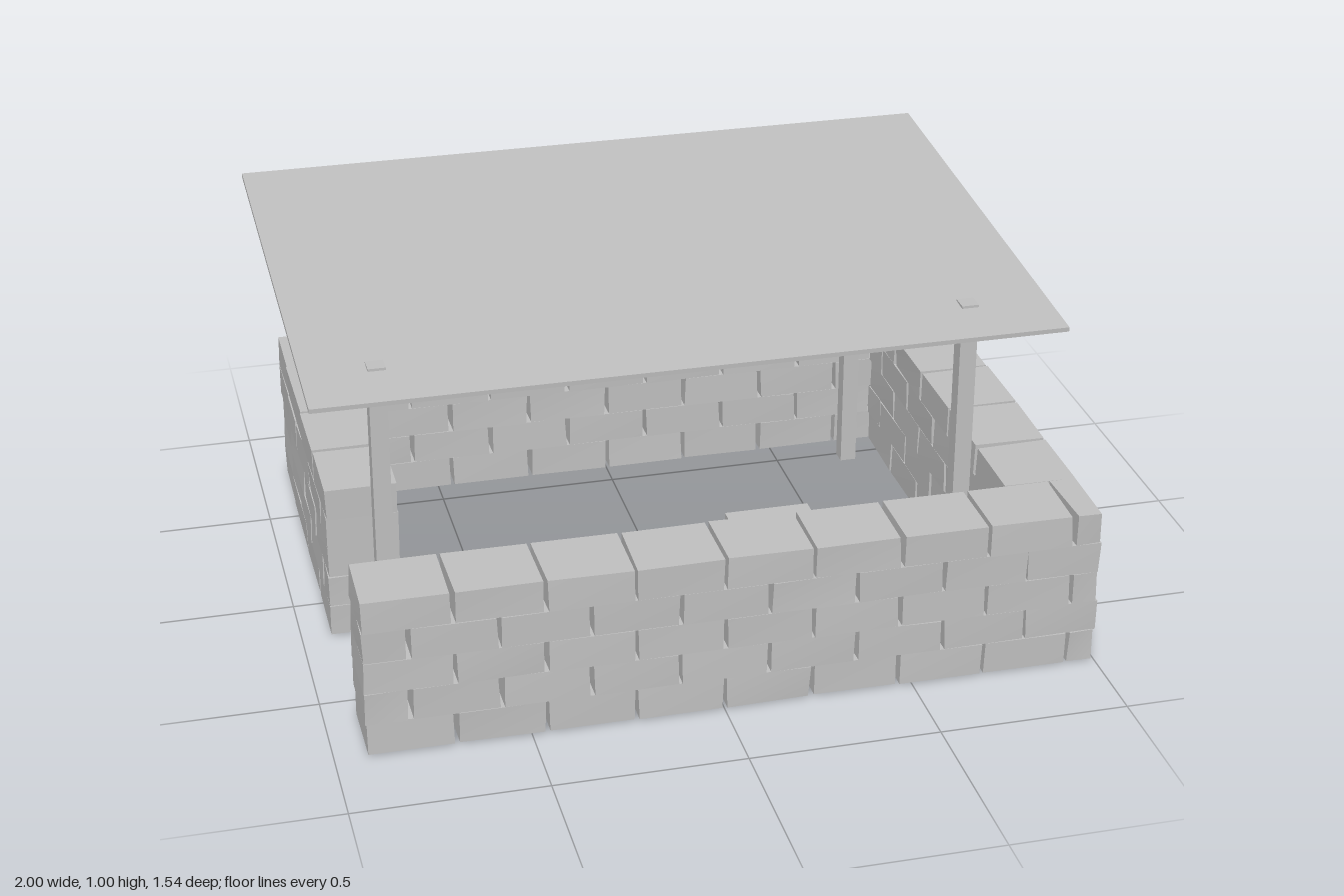
import * as THREE from 'three';

// Small seeded generator for the uneven hand-laid bricks
let seed = 7;
const jitter = (a) => {
  seed = (seed * 16807) % 2147483647;
  return (seed / 2147483647 - 0.5) * 2 * a;
};

const WALL_BASE = 0.006, COURSE = 0.0865, COURSES = 5, JOINT = 0.006, PITCH = 0.23;

export function createModel() {
  const group = new THREE.Group();
  const grey = new THREE.MeshStandardMaterial({ color: 0xc0c0c0 });
  grey.name = 'plainGrey';

  function box(name, x0, x1, y0, y1, z0, z1, parent = group) {
    const mesh = new THREE.Mesh(new THREE.BoxGeometry(x1 - x0, y1 - y0, z1 - z0), grey);
    mesh.name = name;
    mesh.position.set((x0 + x1) / 2, (y0 + y1) / 2, (z0 + z1) / 2);
    parent.add(mesh);
    return mesh;
  }

  // Nudge the corners of a brick, keeping shared corners together
  function roughen(mesh) {
    const p = mesh.geometry.attributes.position;
    const moved = new Map();
    for (let i = 0; i < p.count; i++) {
      const key = [p.getX(i) > 0, p.getY(i) > 0, p.getZ(i) > 0].join();
      if (!moved.has(key)) moved.set(key, [jitter(0.003), jitter(0.001), jitter(0.003)]);
      const d = moved.get(key);
      p.setXYZ(i, p.getX(i) + d[0], p.getY(i) + d[1], p.getZ(i) + d[2]);
    }
    mesh.geometry.computeVertexNormals();
  }

  // Wall of staggered bricks; range(odd) gives [start, end, firstJoint] of a course
  function wall(name, alongX, side0, side1, range) {
    const bricks = new THREE.Group();
    bricks.name = name;
    for (let c = 0; c < COURSES; c++) {
      const [start, end, first] = range(c % 2 === 1);
      const cuts = [start];
      for (let j = first; j < end - 0.03; j += PITCH) cuts.push(j);
      cuts.push(end);
      const y0 = WALL_BASE + c * COURSE, y1 = y0 + COURSE;
      for (let i = 0; i < cuts.length - 1; i++) {
        const a = cuts[i] + (i > 0 ? JOINT : 0.003);
        const b = cuts[i + 1] - (i < cuts.length - 2 ? JOINT : 0.003);
        roughen(alongX
          ? box('brick', a, b, y0, y1, side0, side1, bricks)
          : box('brick', side0, side1, y0, y1, a, b, bricks));
      }
    }
    group.add(bricks);
  }

  // Four walls with a doorway at the front of the right-hand side
  wall('frontWall', true, 0.572, 0.768, (odd) => odd ? [-0.92, 0.8, -0.805] : [-0.92, 0.995, -0.69]);
  wall('backWall', true, -0.768, -0.572, (odd) => odd ? [-0.92, 0.995, -0.805] : [-0.92, 0.995, -0.69]);
  wall('leftWall', false, 0.802, 0.995, (odd) => odd ? [-0.57, 0.768, -0.46] : [-0.57, 0.575, -0.345]);
  wall('rightWall', false, -0.92, -0.73, (odd) => odd ? [-0.57, 0.18, -0.395] : [-0.57, 0.18, -0.28]);

  // Square roof posts
  for (const x of [-0.813, 0.705]) {
    for (const z of [-0.478, 0.481]) {
      box('roofPost', x - 0.0225, x + 0.0225, 0, 0.935, z - 0.0225, z + 0.0225);
    }
  }

  // Thin roof sloping down to the front
  const roof = box('roof', -1, 0.915, 0.948, 0.96, -0.653, 0.653);
  roof.rotation.x = Math.atan2(0.082, 1.3);

  // Blocks inside the enclosure
  box('tallBlock', 0.15, 0.38, 0.02, 0.245, 0.2, 0.43);
  box('lowBlock', -0.42, -0.04, 0.02, 0.19, 0.22, 0.42);

  return group;
}
